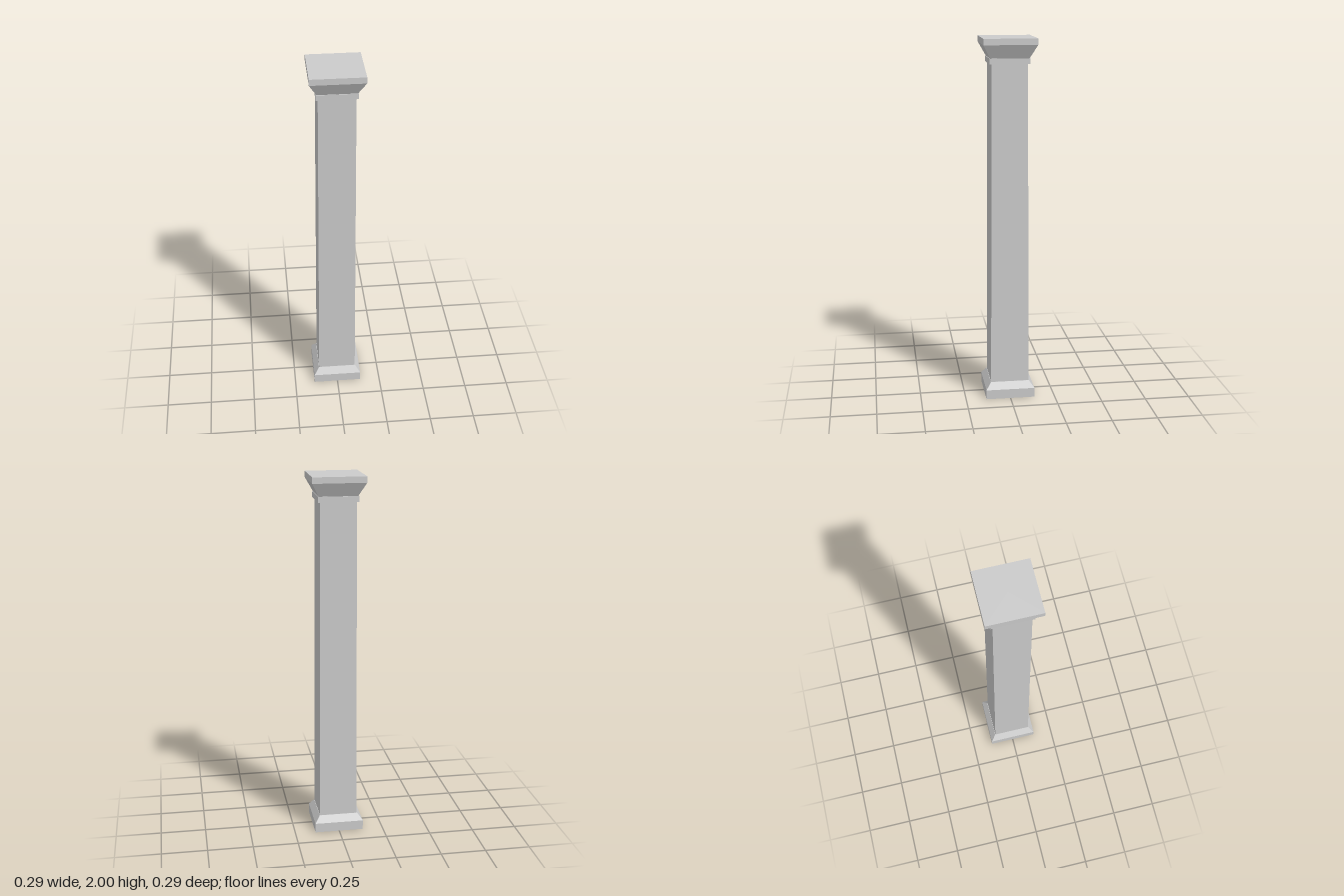
import * as THREE from 'three';

const material = new THREE.MeshStandardMaterial({ color: 0xcccccc, flatShading: true });

// Square solid from a bottom-to-top profile of [half width, height], closed at both ends
function squareTurned(name, profile) {
  const points = [[0, profile[0][1]], ...profile, [0, profile[profile.length - 1][1]]]
    .map(([half, y]) => new THREE.Vector2(half * Math.SQRT2, y));
  const mesh = new THREE.Mesh(new THREE.LatheGeometry(points, 4, Math.PI / 4), material);
  mesh.name = name;
  return mesh;
}

export function createModel() {
  const column = new THREE.Group();
  column.name = 'squareColumn';
  column.add(
    // Plinth with a bevelled top edge
    squareTurned('base', [[0.136, 0], [0.136, 0.053], [0.108, 0.09]]),
    // Gently tapering shaft
    squareTurned('shaft', [[0.106, 0.09], [0.097, 1.865]]),
    // Thin band under the capital
    squareTurned('neckRing', [[0.108, 1.865], [0.108, 1.895]]),
    // Flared capital with a flat slab on top
    squareTurned('capital', [[0.104, 1.895], [0.143, 1.967], [0.143, 2]])
  );
  return column;
}
